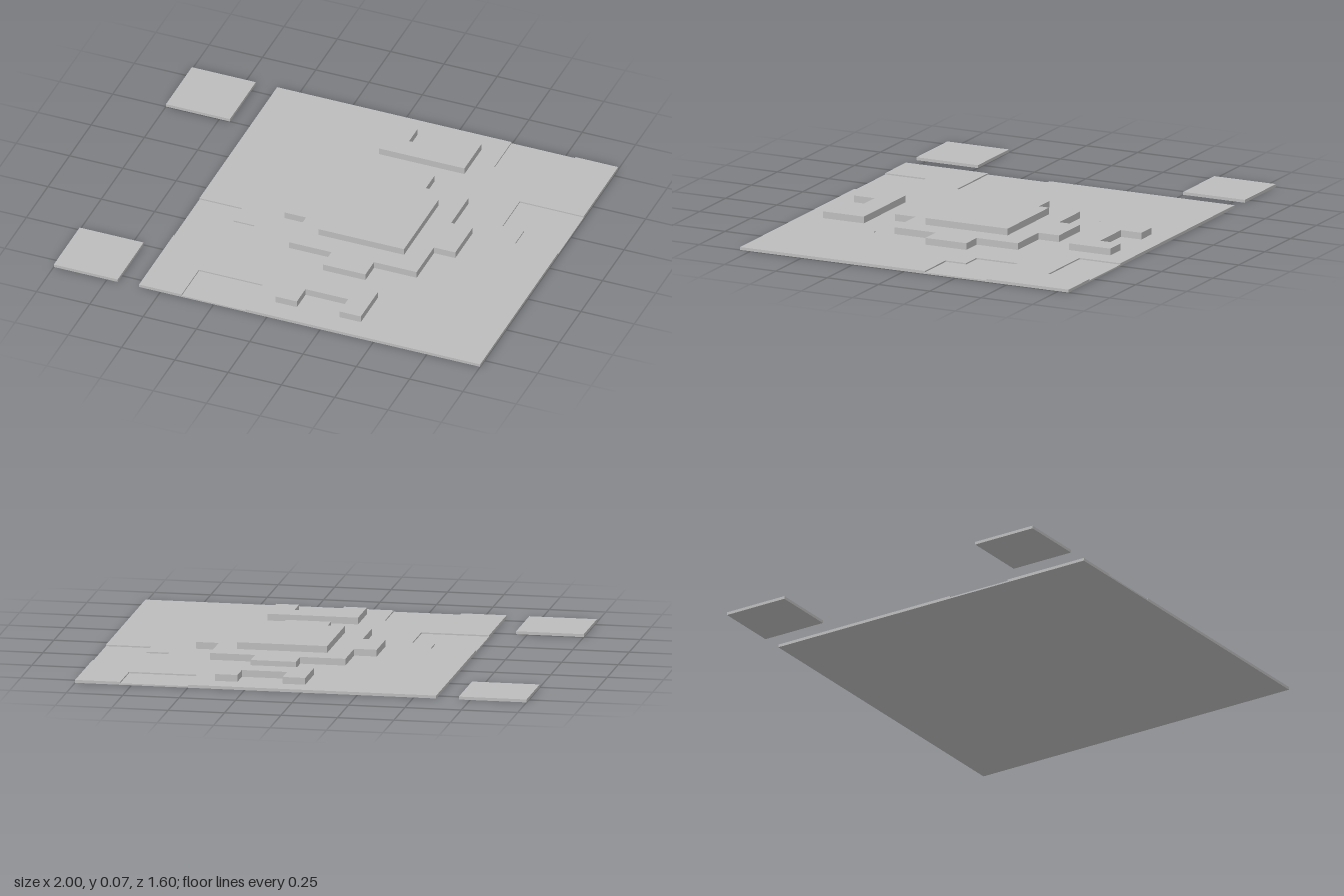
import * as THREE from 'three';

const FLOOR = 0.007, TOP = 0.013, STEP = 0.03;
const CX = 0.2; // centre of the main plate

export function createModel() {
  const model = new THREE.Group();
  model.name = 'terracedPlan';
  const grey = new THREE.MeshStandardMaterial({ color: 0xbcbcbc });
  grey.name = 'plainGrey';

  // Half turn about the plate's centre
  const turn = (pts) => pts.map(([x, z]) => [2 * CX - x, -z]);
  const toVectors = (pts) => pts.map(([x, z]) => new THREE.Vector2(x, -z));

  // Upright slab from a plan outline of [x, z] points
  function slab(name, outline, y, height, holes = []) {
    const shape = new THREE.Shape(toVectors(outline));
    for (const h of holes) shape.holes.push(new THREE.Path(toVectors(h)));
    const geo = new THREE.ExtrudeGeometry(shape, { depth: height, bevelEnabled: false });
    geo.rotateX(-Math.PI / 2);
    const mesh = new THREE.Mesh(geo, grey);
    mesh.name = name;
    mesh.position.y = y;
    model.add(mesh);
  }
  const rect = (x0, x1, z0, z1) => [[x0, z0], [x1, z0], [x1, z1], [x0, z1]];

  // Main plate: a floor, and a thin layer with edge notches and two sunken pools
  slab('plateFloor', rect(-0.6, 1, -0.8, 0.8), 0, FLOOR);
  const halfEdge = [
    [-0.6, -0.8], [0.5, -0.8], [0.5, -0.6], [0.8, -0.6], [0.8, -0.8], [1, -0.8],
    [1, -0.4], [0.7, -0.4], [0.7, -0.2], [0.8, -0.2], [0.8, -0.1], [1, -0.1],
  ];
  const pool = [[-0.3, -0.5], [0, -0.5], [0, -0.4], [-0.1, -0.4], [-0.1, -0.2], [-0.3, -0.2]];
  slab('plateSurface', [...halfEdge, ...turn(halfEdge)], FLOOR, TOP - FLOOR, [pool, turn(pool)]);

  // Central stepped platform and the square block on it
  const halfPlatform = [
    [-0.2, -0.1], [-0.1, -0.1], [-0.1, -0.3], [0.1, -0.3], [0.1, -0.4],
    [0.3, -0.4], [0.3, -0.3], [0.5, -0.3], [0.5, -0.1], [0.6, -0.1],
  ];
  slab('platform', [...halfPlatform, ...turn(halfPlatform)], TOP, STEP);
  slab('topBlock', rect(0, 0.4, -0.2, 0.2), TOP + STEP, STEP);

  // U-shaped blocks opening to the front and back
  const uBlock = [
    [0, 0.5], [0.4, 0.5], [0.4, 0.7], [0.3, 0.7],
    [0.3, 0.6], [0.1, 0.6], [0.1, 0.7], [0, 0.7],
  ];
  slab('frontUBlock', uBlock, TOP, STEP);
  slab('backUBlock', turn(uBlock), TOP, STEP);

  // Separate small tiles beside the plate
  slab('frontTile', rect(-1, -0.7, 0.5, 0.8), 0, TOP);
  slab('backTile', rect(-1, -0.7, -0.8, -0.5), 0, TOP);

  return model;
}
